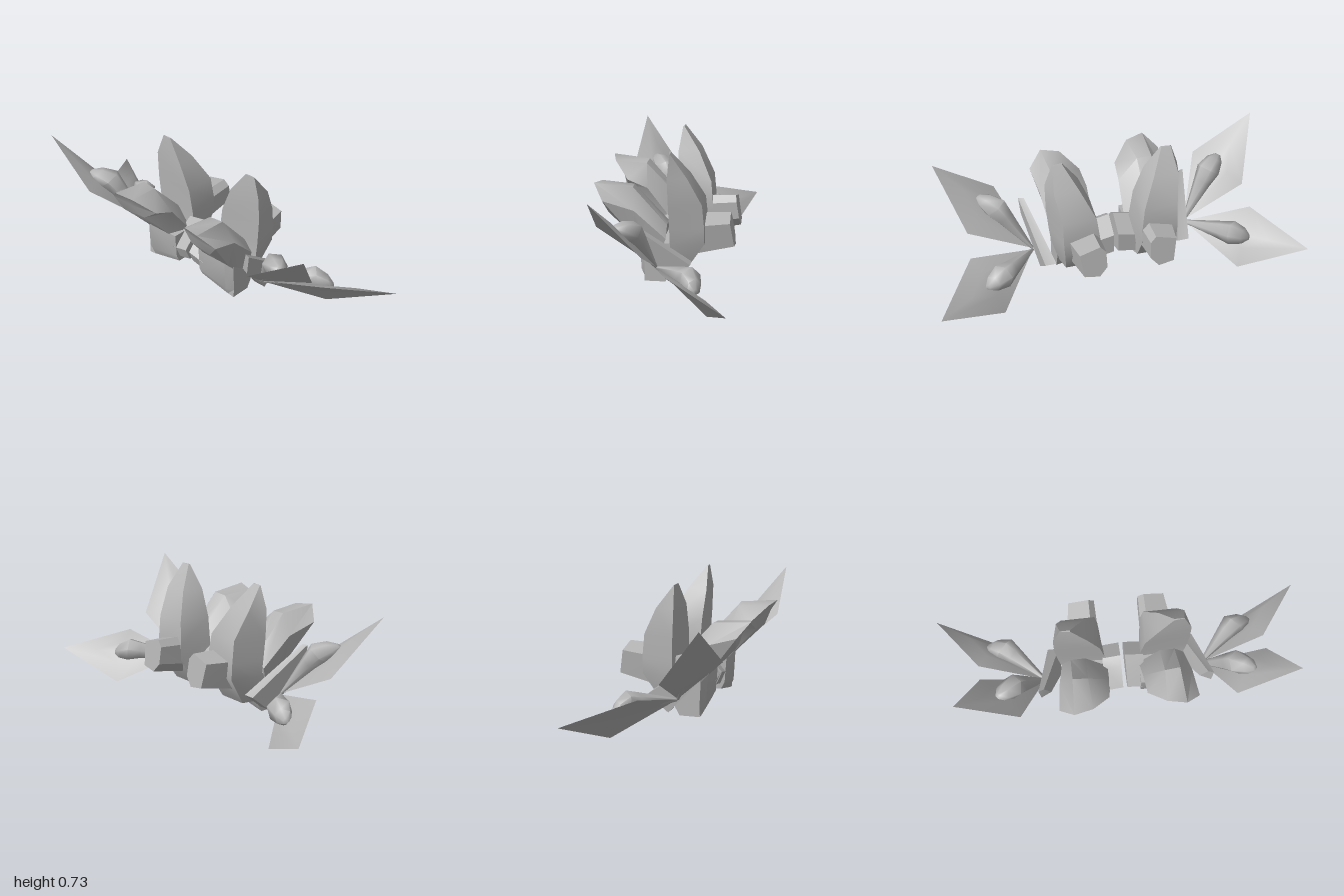
import * as THREE from 'three';
import { toCreasedNormals } from 'three/addons/utils/BufferGeometryUtils.js';

const hull = new THREE.MeshStandardMaterial({ color: 0xb4b4b4 });
hull.name = 'hull grey';

// Closed skin through rings of equal point count, always wound outwards.
function loft(rings, crease) {
  const tris = [], n = rings[0].length;
  const centre = (r) => [0, 1, 2].map((k) => r.reduce((s, p) => s + p[k], 0) / n);
  const first = centre(rings[0]), last = centre(rings[rings.length - 1]);
  for (let j = 0; j < n; j++) {
    const k = (j + 1) % n;
    for (let i = 0; i < rings.length - 1; i++) {
      const [a, b] = [rings[i], rings[i + 1]];
      tris.push([a[j], a[k], b[k]], [a[j], b[k], b[j]]);
    }
    tris.push([first, rings[0][k], rings[0][j]]);
    tris.push([last, rings[rings.length - 1][j], rings[rings.length - 1][k]]);
  }
  const v = (p, q) => new THREE.Vector3(p[0] - q[0], p[1] - q[1], p[2] - q[2]);
  let volume = 0;
  for (const [a, b, c] of tris) volume += v(a, first).dot(v(b, first).cross(v(c, first)));
  const flat = tris.flatMap(([a, b, c]) => (volume < 0 ? [...a, ...c, ...b] : [...a, ...b, ...c]));
  const g = new THREE.BufferGeometry();
  g.setAttribute('position', new THREE.Float32BufferAttribute(flat, 3));
  g.computeVertexNormals();
  return toCreasedNormals(g, crease);
}

// Thin blade: flat underside, gently raised upper face.
function blade(corners, up) {
  const c = [0, 1, 2].map((k) => corners.reduce((s, p) => s + p[k], 0) / 4);
  return [corners, corners.map((p) => p.map((v, k) => c[k] + (v - c[k]) * 0.4 + up[k] * 0.02))];
}

// Teardrop hump: six-sided rings swelling from the blade root to a blunt end.
function hump(root, middle, up) {
  const r = new THREE.Vector3(...root), m = new THREE.Vector3(...middle), u = new THREE.Vector3(...up);
  const axis = m.clone().sub(r).normalize();
  const across = axis.clone().cross(u).normalize();
  const lift = across.clone().cross(axis);
  const stations = [[0, 0.008, 0], [0.8, 0.05, 0], [1.05, 0.066, -0.005], [1.3, 0.045, -0.035], [1.42, 0.015, -0.055]];
  return stations.map(([t, radius, drop]) => Array.from({ length: 6 }, (_, i) => {
    const a = (i * Math.PI) / 3;
    return r.clone().lerp(m, t).addScaledVector(u, drop)
      .addScaledVector(across, Math.cos(a) * radius)
      .addScaledVector(lift, Math.sin(a) * radius).toArray();
  }));
}

function buildHalf(side) {
  const half = new THREE.Group();
  half.name = side > 0 ? 'frontHalf' : 'rearHalf';
  const add = (name, rings, crease = 0.45) => {
    const geo = loft(rings.map((r) => r.map(([x, y, z]) => [x, y, z * side])), crease);
    const mesh = new THREE.Mesh(geo, hull);
    mesh.name = name;
    half.add(mesh);
  };

  // Upright fin: height, back x, front x, back z range, front z range
  add('uprightFin', [
    [0.10, 0.0, 0.10, 0.08, 0.30, 0.12, 0.28],
    [0.25, 0.01, 0.195, 0.09, 0.34, 0.115, 0.305],
    [0.335, 0.008, 0.195, 0.10, 0.35, 0.115, 0.31],
    [0.46, 0.003, 0.183, 0.12, 0.36, 0.13, 0.31],
    [0.605, -0.003, 0.11, 0.18, 0.36, 0.20, 0.335],
    [0.725, 0.012, 0.02, 0.265, 0.32, 0.267, 0.318],
  ].map(([y, x0, x1, a, b, c, d]) => (
    [[x0, y, a], [Math.min(x0 + 0.013, x1 - 0.002), y, b], [x1, y, d], [x1, y, c]]
  )), 0.6);

  // Six-sided nozzle, wider at its root, with a slanted end
  const hex = [[0.382, 0.15], [0.352, 0.26], [0.225, 0.242], [0.212, 0.16], [0.26, 0.118], [0.35, 0.12]];
  add('nozzle', [
    hex.map(([y, z]) => [0.15, 0.272 + (y - 0.297) * 1.2, 0.2 + (z - 0.19) * 1.2]),
    hex.map(([y, z]) => [0.345 - (y - 0.215) * 0.17, y, z]),
  ]);

  // Slanted pod reaching up and outwards
  add('pod', [
    [[-0.375, 0.553, 0.29], [-0.32, 0.48, 0.365], [-0.30, 0.41, 0.31],
      [-0.285, 0.41, 0.17], [-0.27, 0.46, 0.10], [-0.35, 0.54, 0.19]],
    [[-0.175, 0.535, 0.28], [-0.16, 0.43, 0.35], [-0.16, 0.27, 0.31],
      [-0.16, 0.27, 0.13], [-0.16, 0.42, 0.09], [-0.18, 0.53, 0.20]],
    [[0, 0.34, 0.28], [0, 0.28, 0.33], [-0.05, 0.15, 0.30],
      [-0.05, 0.15, 0.12], [-0.02, 0.24, 0.085], [0, 0.34, 0.20]],
  ], 0.75);

  // Lower block with a tilted, bevelled foot
  add('lowerBlock', [
    [0.04, 0.085, -0.115, -0.115, -0.005],
    [0.085, 0.125, -0.112, -0.135, 0.02],
    [0.25, 0.26, -0.12, -0.145, 0.06],
  ].map(([yOut, yIn, xo, xi, x1]) => (
    [[xo, yOut, 0.31], [x1, yOut, 0.31], [x1, yIn, 0.085], [xi, yIn, 0.085], [xi, yOut + 0.005, 0.27]]
  )));

  // Inner coupling block beside the centre gap
  const link = [[-0.14, 0.2], [-0.05, 0.30], [0, 0.33], [0.1, 0.26], [0.1, 0.15], [0, 0.11], [-0.11, 0.13]];
  add('innerBlock', [
    link.map(([x, y]) => [x, y, 0.012]),
    link.map(([x, y]) => [x, y - 0.02, 0.11]),
  ]);

  // Slanted mount plate that carries the blades
  add('mountPlate', [
    [[-0.18, 0.405, 0.465], [0.135, 0.17, 0.40], [0.025, 0.08, 0.405], [-0.18, 0.30, 0.455]],
    [[-0.17, 0.405, 0.435], [0.135, 0.17, 0.34], [0.025, 0.08, 0.335], [-0.15, 0.29, 0.40]],
  ]);

  // Two blades, each with a hump on its upper face
  const blades = [
    ['upperBlade', [[-0.035, 0.165, 0.43], [-0.05, 0.33, 0.77], [-0.285, 0.63, 0.89], [-0.31, 0.412, 0.57]],
      [0.51, 0.78, -0.36], [-0.13, 0.395, 0.59]],
    ['lowerBlade', [[-0.03, 0.16, 0.43], [0.055, 0.247, 0.78], [0.375, 0.145, 1.0], [0.247, 0.0, 0.65]],
      [0.65, 0.69, -0.32], [0.158, 0.183, 0.625]],
  ];
  for (const [name, corners, up, middle] of blades) {
    add(name, blade(corners, up), 0.6);
    add(name + 'Hump', hump(corners[0], middle, up), 1.2);
  }
  return half;
}

export function createModel() {
  const model = new THREE.Group();
  model.name = 'bladedCraft';
  model.add(buildHalf(1), buildHalf(-1));
  return model;
}
